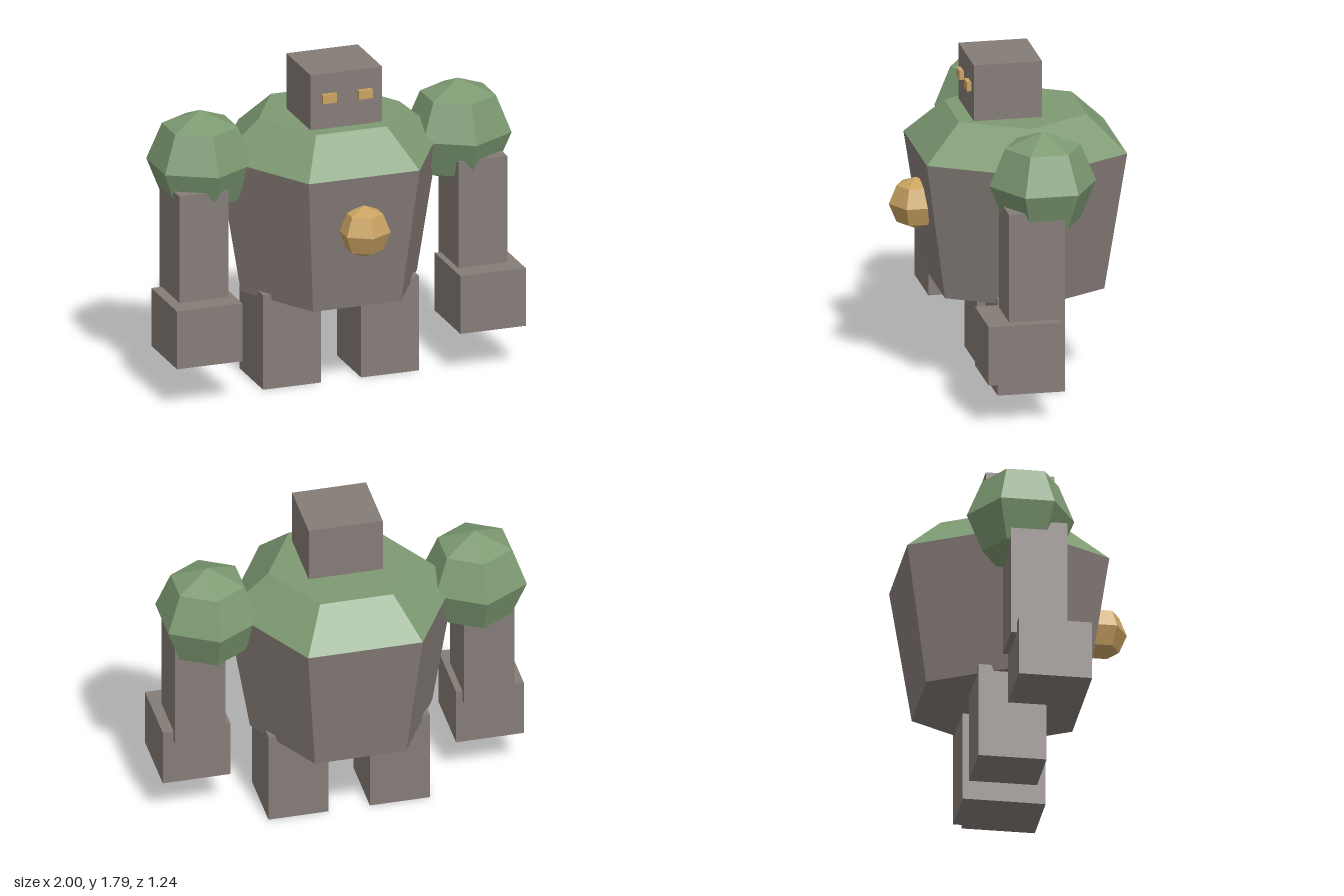
import * as THREE from 'three';

export function createModel() {
  const golem = new THREE.Group();
  golem.name = 'golem';

  const paint = (color) => new THREE.MeshStandardMaterial({ color, flatShading: true });
  const stone = paint(0x857c77);
  const moss = paint(0x7d9a72);
  const gold = paint(0xc9a261);

  function add(name, geometry, material, x, y, z) {
    const mesh = new THREE.Mesh(geometry, material);
    mesh.name = name;
    mesh.position.set(x, y, z);
    golem.add(mesh);
    return mesh;
  }

  // Box given by its x, y and z ranges
  function block(name, material, [x0, x1], [y0, y1], [z0, z1]) {
    return add(name, new THREE.BoxGeometry(x1 - x0, y1 - y0, z1 - z0), material,
      (x0 + x1) / 2, (y0 + y1) / 2, (z0 + z1) / 2);
  }

  // Six-sided frustum with corners on the x axis
  function hexagon(name, material, topRadius, bottomRadius, y0, y1, z) {
    const geometry = new THREE.CylinderGeometry(topRadius, bottomRadius, y1 - y0, 6);
    geometry.rotateY(Math.PI / 6);
    return add(name, geometry, material, 0, (y0 + y1) / 2, z);
  }

  // Coarse six-sided ball with corners on the z axis
  function boulder(name, material, radius, x, y, z) {
    const geometry = new THREE.SphereGeometry(radius, 6, 4);
    geometry.rotateY(Math.PI / 2);
    return add(name, geometry, material, x, y, z);
  }

  // Body
  hexagon('torso', stone, 0.635, 0.505, 0.505, 1.28, -0.075);
  hexagon('mossMantle', moss, 0.405, 0.635, 1.28, 1.48, -0.075);
  boulder('chestGem', gold, 0.145, 0, 0.975, 0.475);

  // Head
  block('head', stone, [-0.205, 0.205], [1.46, 1.795], [-0.18, 0.195]);

  // Paired parts, mirrored in x
  for (const side of [1, -1]) {
    const prefix = side > 0 ? 'left' : 'right';
    const span = (a, b) => (side > 0 ? [a, b] : [-b, -a]);
    block(prefix + 'Eye', gold, span(0.063, 0.143), [1.63, 1.68], [0.17, 0.22]);
    boulder(prefix + 'Shoulder', moss, 0.293, side * 0.74, 1.28, -0.075);
    block(prefix + 'Arm', stone, span(0.66, 0.94), [0.51, 1.177], [-0.157, 0.15]);
    block(prefix + 'Fist', stone, span(0.625, 1), [0.24, 0.57], [-0.125, 0.275]);
    block(prefix + 'Leg', stone, span(0.115, 0.447), [0, 0.54], [-0.257, 0.113]);
  }

  return golem;
}
